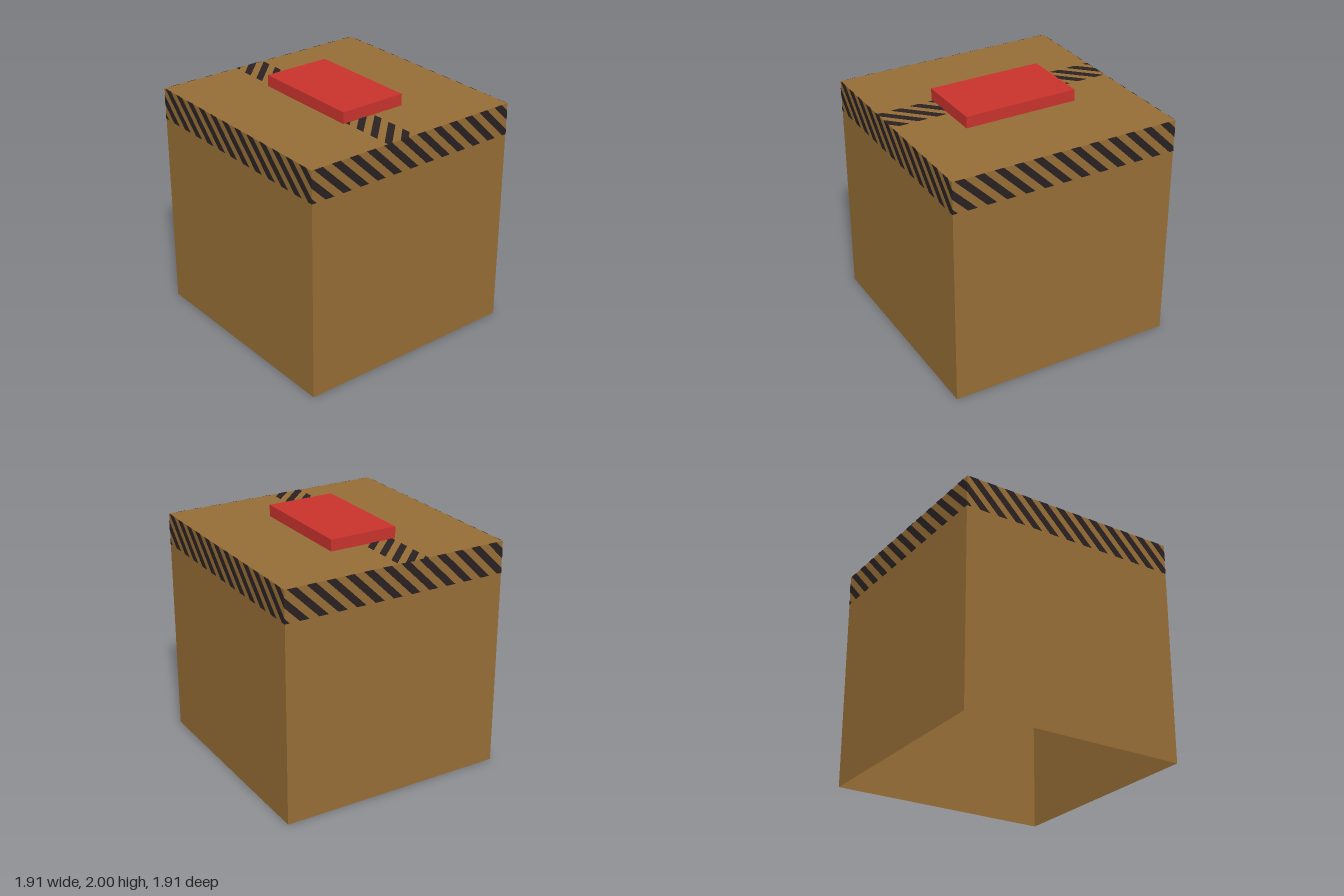
import * as THREE from 'three';

const S = 1.905;          // crate edge length
const H = S / 2;
const BAND = 0.26;        // height of the striped band
const PITCH = S / 12;     // stripe spacing
const PLATE = 0.006;      // stripe thickness, centred on the panel

const brown = new THREE.MeshStandardMaterial({ color: 0x976e36, side: THREE.DoubleSide });
brown.name = 'brown panel';
const red = new THREE.MeshStandardMaterial({ color: 0xca332d });
red.name = 'red lid';
const black = new THREE.MeshStandardMaterial({ color: 0x2a2122 });
black.name = 'black stripe';

// Keep the part of a polygon on one side of the vertical line x = limit
function clip(points, limit, sign) {
  const inside = p => sign * (p.x - limit) >= 0;
  const out = [];
  points.forEach((a, i) => {
    const b = points[(i + 1) % points.length];
    if (inside(a)) out.push(a);
    if (inside(a) !== inside(b)) out.push(a.clone().lerp(b, (limit - a.x) / (b.x - a.x)));
  });
  return out;
}

// Diagonal stripes hanging below y = 0, trimmed to the panel width
function stripeGeometry() {
  const shapes = [];
  for (let k = 0; k < 14; k++) {
    const right = -H + 0.04 + k * PITCH, left = right - 0.078;
    let pts = [
      new THREE.Vector2(left, -BAND), new THREE.Vector2(right, -BAND),
      new THREE.Vector2(right - BAND, 0), new THREE.Vector2(left - BAND, 0),
    ];
    pts = clip(clip(pts, -H, 1), H, -1);
    if (pts.length > 2) shapes.push(new THREE.Shape(pts));
  }
  return new THREE.ExtrudeGeometry(shapes, { depth: PLATE, bevelEnabled: false })
    .translate(0, 0, -PLATE / 2);
}

function addMesh(parent, name, geometry, material) {
  const mesh = new THREE.Mesh(geometry, material);
  mesh.name = name;
  parent.add(mesh);
  return mesh;
}

export function createModel() {
  const model = new THREE.Group();
  model.name = 'stripedCrate';
  const panel = new THREE.PlaneGeometry(S, S);
  const stripes = stripeGeometry();

  // Four walls, each with a band of stripes along its upper edge
  ['front', 'left', 'back', 'right'].forEach((side, i) => {
    const wall = new THREE.Group();
    wall.name = side + 'Wall';
    wall.rotation.y = i * Math.PI / 2;
    addMesh(wall, side + 'Panel', panel, brown).position.set(0, H, H);
    addMesh(wall, side + 'Stripes', stripes, black).position.set(0, S, H);
    model.add(wall);
  });

  // Top panel with one band across the middle; the underside stays open
  const top = new THREE.Group();
  top.name = 'top';
  top.position.y = S;
  top.rotation.x = -Math.PI / 2;
  addMesh(top, 'topPanel', panel, brown);
  addMesh(top, 'topStripes', stripes, black);
  model.add(top);

  // Raised red lid
  const lid = new THREE.BoxGeometry(0.952, 2 - S, 0.572);
  addMesh(model, 'lid', lid, red).position.y = (2 + S) / 2;

  return model;
}
